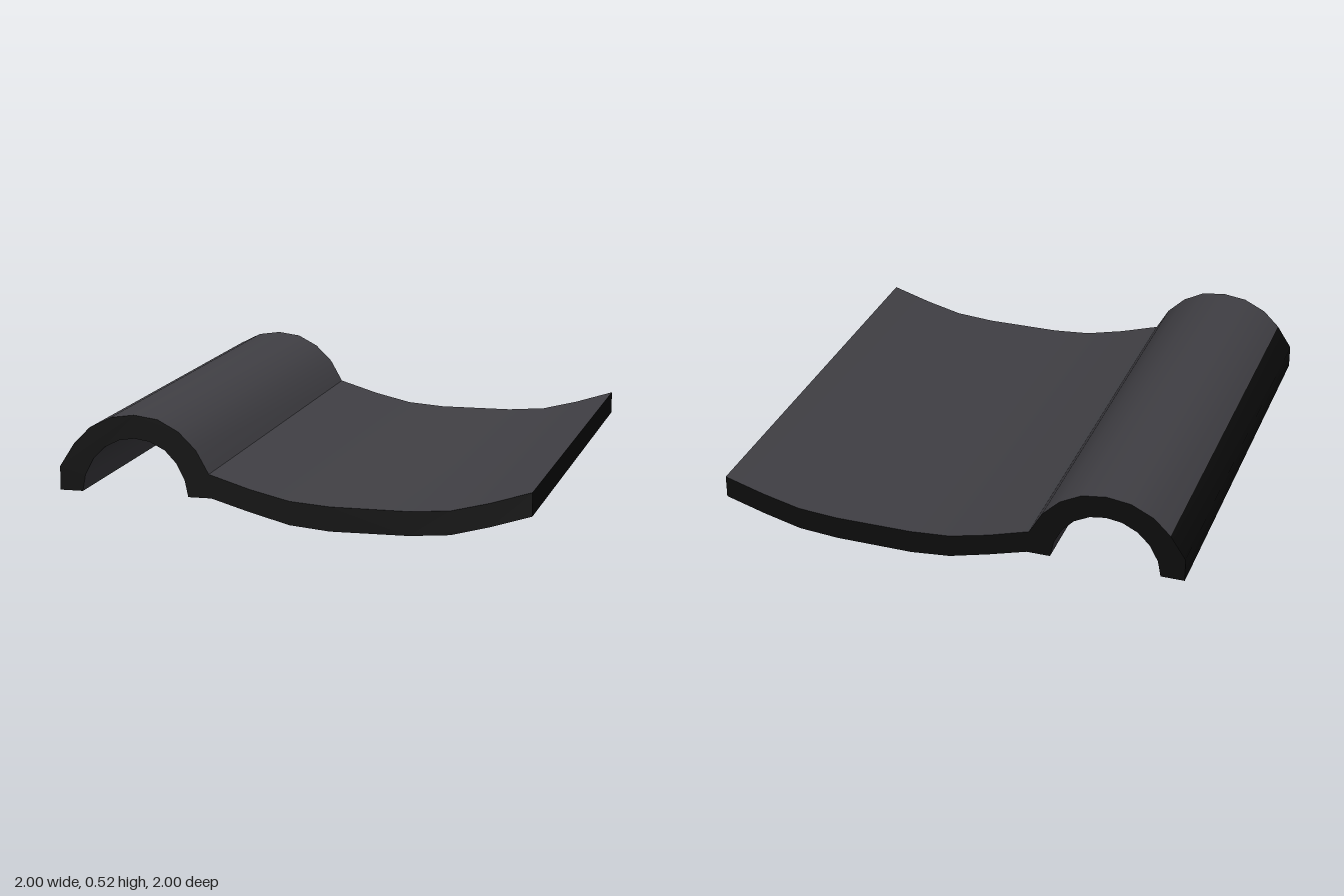
import * as THREE from 'three';
import { toCreasedNormals } from 'three/addons/utils/BufferGeometryUtils.js';

const RISE = 0.083; // the back end sits higher than the front end

// Profile runs, ordered clockwise as seen from the front
const leftEdge = [[-0.9, 0.11], [-1, 0.11]];
const outerWall = [[-1, 0.11], [-1, 0.21], [-0.935, 0.31]];
const rollTop = [[-0.935, 0.31], [-0.865, 0.38], [-0.77, 0.427], [-0.668, 0.441], [-0.565, 0.427],
  [-0.475, 0.38], [-0.4, 0.307], [-0.345, 0.21]];
const panTop = [[-0.345, 0.21], [-0.17, 0.157], [0, 0.117], [0.17, 0.104], [0.5, 0.104],
  [0.67, 0.117], [0.83, 0.157], [1, 0.21]];
const panEdge = [[1, 0.21], [1, 0.113], [0.83, 0.06]];
const panBottom = [[0.83, 0.06], [0.67, 0.018], [0.5, 0.004], [0.17, 0.002], [0, 0.018],
  [-0.17, 0.062], [-0.335, 0.11]];
const innerFoot = [[-0.335, 0.11], [-0.435, 0.11]];
const rollInside = [[-0.435, 0.11], [-0.45, 0.18], [-0.487, 0.25], [-0.535, 0.3], [-0.6, 0.333],
  [-0.668, 0.343], [-0.735, 0.333], [-0.8, 0.3], [-0.85, 0.25], [-0.887, 0.18], [-0.9, 0.11]];

// Sweep a profile run from front to back
function sweep(run) {
  const pos = [];
  for (let i = 0; i < run.length - 1; i++) {
    const [ax, ay] = run[i], [bx, by] = run[i + 1];
    const a = [ax, ay, 1], b = [bx, by, 1];
    const c = [bx, by + RISE, -1], d = [ax, ay + RISE, -1];
    pos.push(...a, ...b, ...c, ...a, ...c, ...d);
  }
  const g = new THREE.BufferGeometry();
  g.setAttribute('position', new THREE.Float32BufferAttribute(pos, 3));
  return toCreasedNormals(g, 0.6);
}

// Flat end face in the shape of the whole profile
function endFace(side) {
  const outline = [leftEdge, outerWall, rollTop, panTop, panEdge, panBottom, innerFoot, rollInside]
    .flatMap(run => run.slice(0, -1))
    .map(([x, y]) => new THREE.Vector2(x * side, y));
  const g = new THREE.ShapeGeometry(new THREE.Shape(outline));
  if (side < 0) g.rotateY(Math.PI);
  return g.translate(0, side < 0 ? RISE : 0, side);
}

export function createModel() {
  const slate = new THREE.MeshStandardMaterial({ color: 0x414045 });
  slate.name = 'slate grey';
  const black = new THREE.MeshStandardMaterial({ color: 0x0c0c0c });
  black.name = 'edge black';

  const tile = new THREE.Group();
  tile.name = 'roofTile';
  const add = (name, geometry, material) => {
    const mesh = new THREE.Mesh(geometry, material);
    mesh.name = name;
    tile.add(mesh);
  };

  // Upper and lower surfaces
  add('rollTop', sweep(rollTop), slate);
  add('panTop', sweep(panTop), slate);
  add('panBottom', sweep(panBottom), slate);
  add('rollInside', sweep(rollInside), slate);
  add('outerFoot', sweep(leftEdge), slate);
  add('innerFoot', sweep(innerFoot), slate);

  // Dark rims and ends
  add('outerWall', sweep(outerWall), black);
  add('panEdge', sweep(panEdge), black);
  add('frontEnd', endFace(1), black);
  add('backEnd', endFace(-1), black);
  return tile;
}
